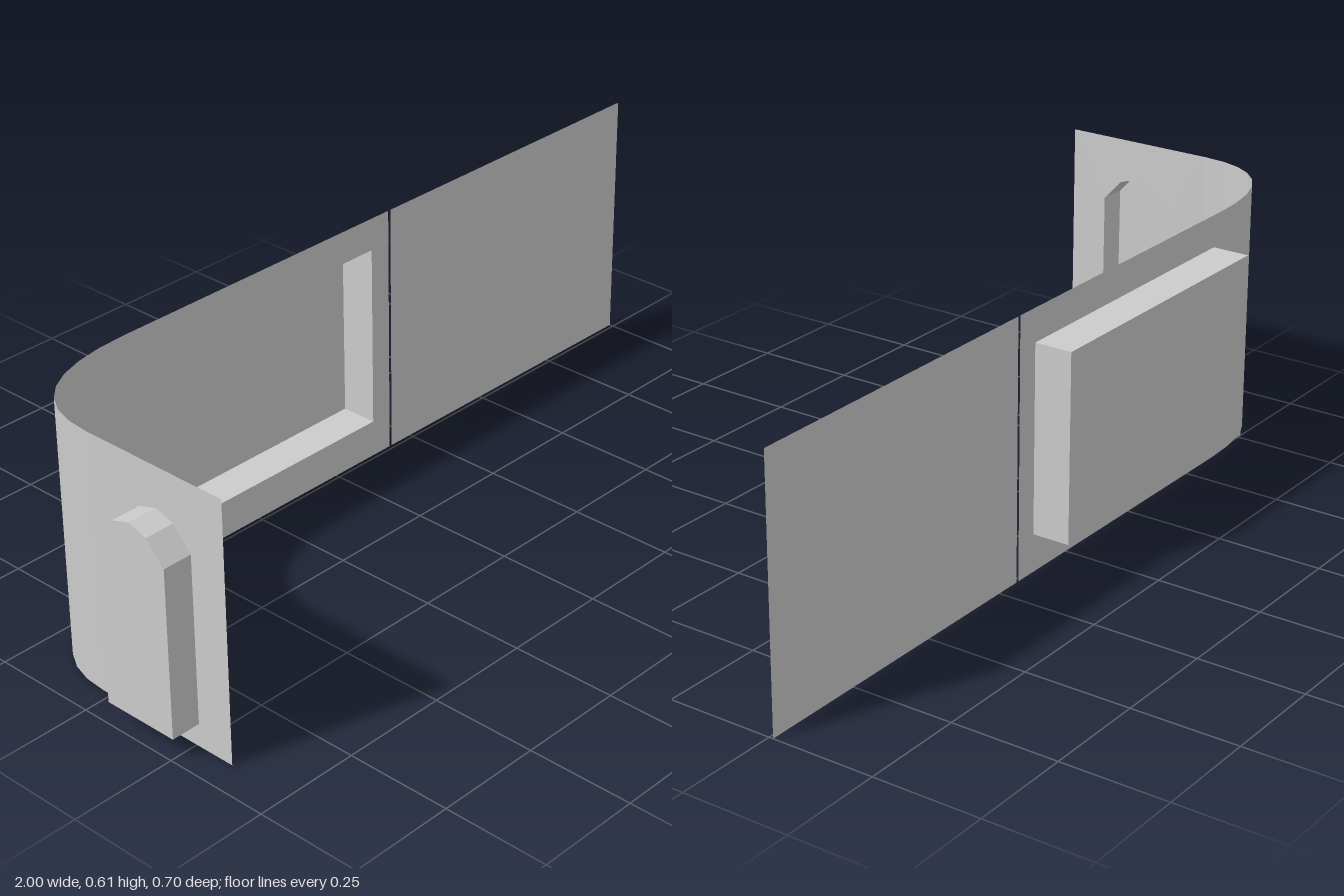
import * as THREE from 'three';

const HEIGHT = 0.61;
const BACK_Z = -0.26, SIDE_X = -0.93;
const material = new THREE.MeshStandardMaterial({ color: 0xcccccc, flatShading: true, side: THREE.DoubleSide });

function named(name, geometry) {
  const mesh = new THREE.Mesh(geometry, material);
  mesh.name = name;
  return mesh;
}

// Faceted band of quads joining two rows of points
function band(rowA, rowB) {
  const corners = [];
  for (let i = 0; i < rowA.length - 1; i++) {
    corners.push(rowA[i], rowA[i + 1], rowB[i + 1], rowA[i], rowB[i + 1], rowB[i]);
  }
  const geometry = new THREE.BufferGeometry().setFromPoints(corners);
  geometry.computeVertexNormals();
  return geometry;
}

// Thin wall panel from u0 to u1 in its own plane, facing local +z
function panel(name, u0, u1, opening) {
  const shape = new THREE.Shape([[u0, 0], [u1, 0], [u1, HEIGHT], [u0, HEIGHT]].map(p => new THREE.Vector2(...p)));
  if (opening) shape.holes.push(new THREE.Path(opening));
  return named(name, new THREE.ShapeGeometry(shape));
}

// Open-fronted recess: side faces around the outline plus a closing plate
function recess(name, outline, depth) {
  const group = new THREE.Group();
  group.name = name;
  const loop = [...outline, outline[0]];
  const rowAt = z => loop.map(p => new THREE.Vector3(p.x, p.y, z));
  group.add(named(name + 'Sides', band(rowAt(0), rowAt(-depth))));
  const plate = new THREE.ShapeGeometry(new THREE.Shape(outline));
  group.add(named(name + 'Plate', plate.translate(0, 0, -depth)));
  return group;
}

export function createModel() {
  const model = new THREE.Group();
  model.name = 'curvedWall';

  // Back wall with its rectangular recess, and the separate end panel
  const back = new THREE.Group();
  back.name = 'backWall';
  back.position.z = BACK_Z;
  const window = [[-0.587, 0.09], [0.125, 0.09], [0.125, 0.532], [-0.587, 0.532]].map(p => new THREE.Vector2(...p));
  back.add(panel('backPanel', -0.615, 0.18, window));
  back.add(panel('endPanel', 0.187, 1));
  back.add(recess('windowRecess', window, 0.09));
  model.add(back);

  // Side wall with its arched niche, turned to face +x (local u = -z)
  const side = new THREE.Group();
  side.name = 'sideWall';
  side.position.x = SIDE_X;
  side.rotation.y = Math.PI / 2;
  const arch = [
    [-0.259, 0.055], [-0.073, 0.055], [-0.073, 0.45], [-0.119, 0.5],
    [-0.166, 0.515], [-0.213, 0.5], [-0.259, 0.45],
  ].map(p => new THREE.Vector2(...p));
  side.add(panel('sidePanel', -0.35, 0.025, arch));
  side.add(recess('archNiche', arch, 0.07));
  model.add(side);

  // Rounded corner joining the two walls
  const bend = new THREE.QuadraticBezierCurve3(
    new THREE.Vector3(SIDE_X, 0, -0.025),
    new THREE.Vector3(SIDE_X, 0, BACK_Z),
    new THREE.Vector3(-0.615, 0, BACK_Z),
  ).getPoints(8);
  const top = bend.map(p => new THREE.Vector3(p.x, HEIGHT, p.z));
  model.add(named('cornerBend', band(bend, top)));

  return model;
}
